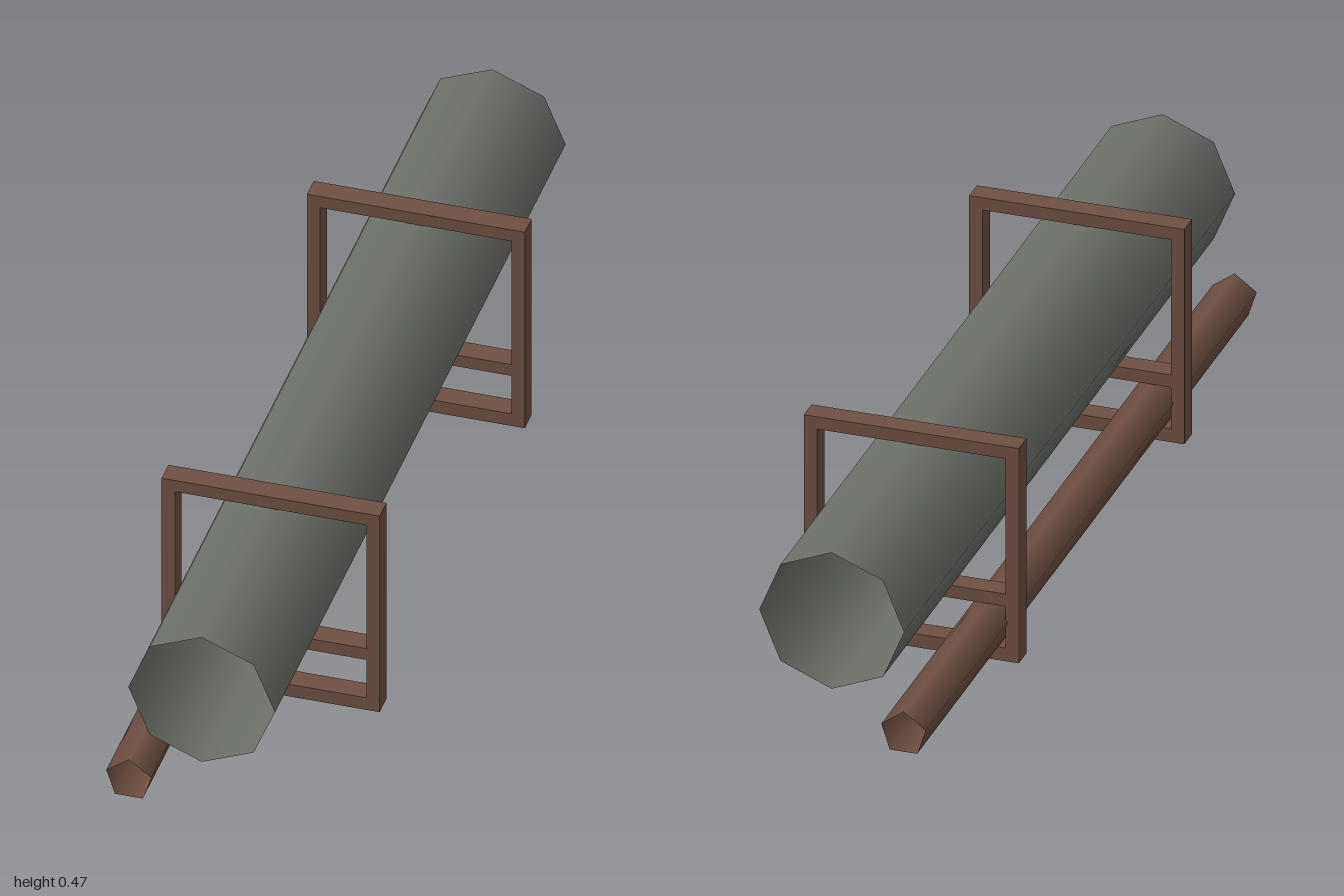
import * as THREE from 'three';

const pipeGrey = new THREE.MeshStandardMaterial({ name: 'pipe grey', color: 0x6b7068, side: THREE.DoubleSide });
const rustBrown = new THREE.MeshStandardMaterial({ name: 'rust brown', color: 0x6e5042, side: THREE.DoubleSide });

// Open tube along z with one corner pointing up
function tube(name, radius, sides, length, material, x, y) {
  const geometry = new THREE.CylinderGeometry(radius, radius, length, sides, 1, true).rotateX(-Math.PI / 2);
  const mesh = new THREE.Mesh(geometry, material);
  mesh.name = name;
  mesh.position.set(x, y, 0);
  return mesh;
}

function rectangle(path, x0, y0, x1, y1) {
  path.moveTo(x0, y0);
  path.lineTo(x1, y0);
  path.lineTo(x1, y1);
  path.lineTo(x0, y1);
  path.closePath();
  return path;
}

// Rectangular bracket with a middle rail: one opening for each tube
function bracketGeometry() {
  const half = 0.2215, bar = 0.027, depth = 0.0465;
  const shape = rectangle(new THREE.Shape(), -half, 0, half, 0.47);
  for (const [bottom, top] of [[0.029, 0.12], [0.147, 0.443]]) {
    shape.holes.push(rectangle(new THREE.Path(), -half + bar, bottom, half - bar, top));
  }
  return new THREE.ExtrudeGeometry(shape, { depth, bevelEnabled: false }).translate(0, 0, -depth / 2);
}

export function createModel() {
  const model = new THREE.Group();
  model.name = 'pipeRun';

  // The whole run is turned slightly off the z axis
  const run = new THREE.Group();
  run.name = 'pipeAssembly';
  run.position.set(0.0025, 0, -0.002);
  run.rotation.y = THREE.MathUtils.degToRad(5);
  model.add(run);

  run.add(tube('largePipe', 0.149, 8, 1.977, pipeGrey, 0, 0.295));
  run.add(tube('smallPipe', 0.048, 5, 1.977, rustBrown, -0.148, 0.072));

  // Two support brackets
  const geometry = bracketGeometry();
  for (const [name, z] of [['frontBracket', 0.513], ['backBracket', -0.475]]) {
    const bracket = new THREE.Mesh(geometry, rustBrown);
    bracket.name = name;
    bracket.position.set(0.005, 0, z);
    run.add(bracket);
  }
  return model;
}
